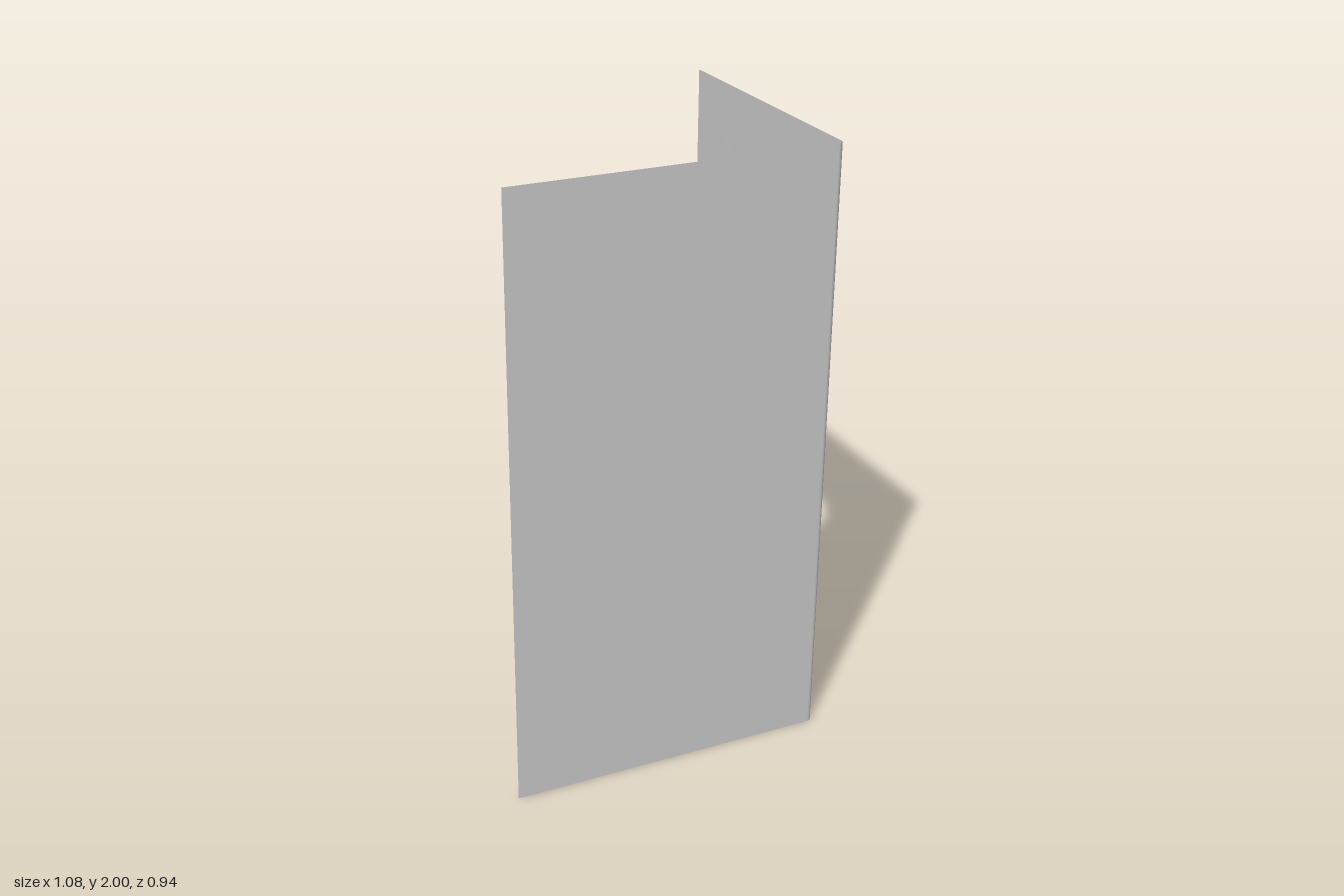
import * as THREE from 'three';
import { mergeGeometries, mergeVertices } from 'three/addons/utils/BufferGeometryUtils.js';

const FACE = 0.517;               // outer face of the side wall (x)
const HALF_Z = 0.472;             // half depth of the side wall
const HEIGHT = 2;
const BEVEL = 0.018;
const OPEN = { centre: 0.006, half: 0.1, floor: 0.7, spring: 1.45 };   // centre is along -z

// Surface through rows of points, facing (row direction) x (column direction)
function loft(rows) {
  const n = rows[0].length;
  const index = [];
  for (let i = 0; i < rows.length - 1; i++) {
    for (let j = 0; j < n - 1; j++) {
      const a = i * n + j, b = a + n;
      index.push(a, b, a + 1, b, b + 1, a + 1);
    }
  }
  const geo = new THREE.BufferGeometry().setFromPoints(rows.flat());
  geo.setIndex(index);
  return geo;
}

// Arched outline of the opening, widened by grow; u runs along -z
function archOutline(grow) {
  const r = OPEN.half + grow, c = OPEN.centre, pts = [new THREE.Vector2(c + r, OPEN.floor)];
  const steps = 24;
  for (let k = 0; k <= steps; k++) {
    const t = Math.PI * k / steps;
    pts.push(new THREE.Vector2(c + r * Math.cos(t), OPEN.spring + r * Math.sin(t)));
  }
  pts.push(new THREE.Vector2(c - r, OPEN.floor));
  return pts;
}

export function createModel() {
  const group = new THREE.Group();
  const material = new THREE.MeshStandardMaterial({ color: 0xcccccc, side: THREE.DoubleSide });
  const add = (name, geo) => {
    const mesh = new THREE.Mesh(geo, material);
    mesh.name = name;
    group.add(mesh);
    return mesh;
  };

  // Front wall and its rounded outer corner
  const plan = [[-0.54, HALF_Z]];
  for (let k = 0; k <= 4; k++) {
    const t = Math.PI / 2 * k / 4;
    plan.push([FACE - BEVEL + BEVEL * Math.sin(t), HALF_Z - BEVEL + BEVEL * Math.cos(t)]);
  }
  const frontWall = loft(plan.map(([x, z]) => [0, HEIGHT].map(y => new THREE.Vector3(x, y, z))));

  // Side wall with the arched opening
  const panel = new THREE.Shape([
    new THREE.Vector2(-HALF_Z + BEVEL, 0), new THREE.Vector2(HALF_Z, 0),
    new THREE.Vector2(HALF_Z, HEIGHT), new THREE.Vector2(-HALF_Z + BEVEL, HEIGHT),
  ]);
  panel.holes.push(new THREE.Path(archOutline(BEVEL)));
  const sideWall = new THREE.ShapeGeometry(panel);
  sideWall.rotateY(Math.PI / 2).translate(FACE, 0, 0);
  sideWall.deleteAttribute('uv');
  sideWall.deleteAttribute('normal');

  // Reveal of the opening, flaring out to the wall face: [x, widening]
  const flare = [[0.425, 0], [FACE - BEVEL, 0], [FACE - 0.011, 0.004], [FACE - 0.005, 0.01], [FACE, BEVEL]];
  const reveal = loft(flare.map(([x, grow]) =>
    archOutline(grow).map(p => new THREE.Vector3(x, p.y, -p.x))));

  // Walls and reveal share smooth normals as one thin skin
  const walls = mergeVertices(mergeGeometries([frontWall, sideWall, reveal]), 1e-4);
  walls.computeVertexNormals();
  add('walls', walls);

  // Flat floor of the opening
  const floor = loft(flare.map(([x, grow]) => [-1, 1].map(s =>
    new THREE.Vector3(x, OPEN.floor, -(OPEN.centre + s * (OPEN.half + grow))))));
  floor.computeVertexNormals();
  add('windowFloor', floor);

  // Half-round sill under the opening
  const sill = new THREE.CylinderGeometry(1, 1, 0.248, 16, 1, false, 0, Math.PI);
  sill.rotateX(Math.PI / 2).scale(0.02, 0.014, 1);
  add('sill', sill).position.set(FACE, 0.689, -OPEN.centre);

  return group;
}
